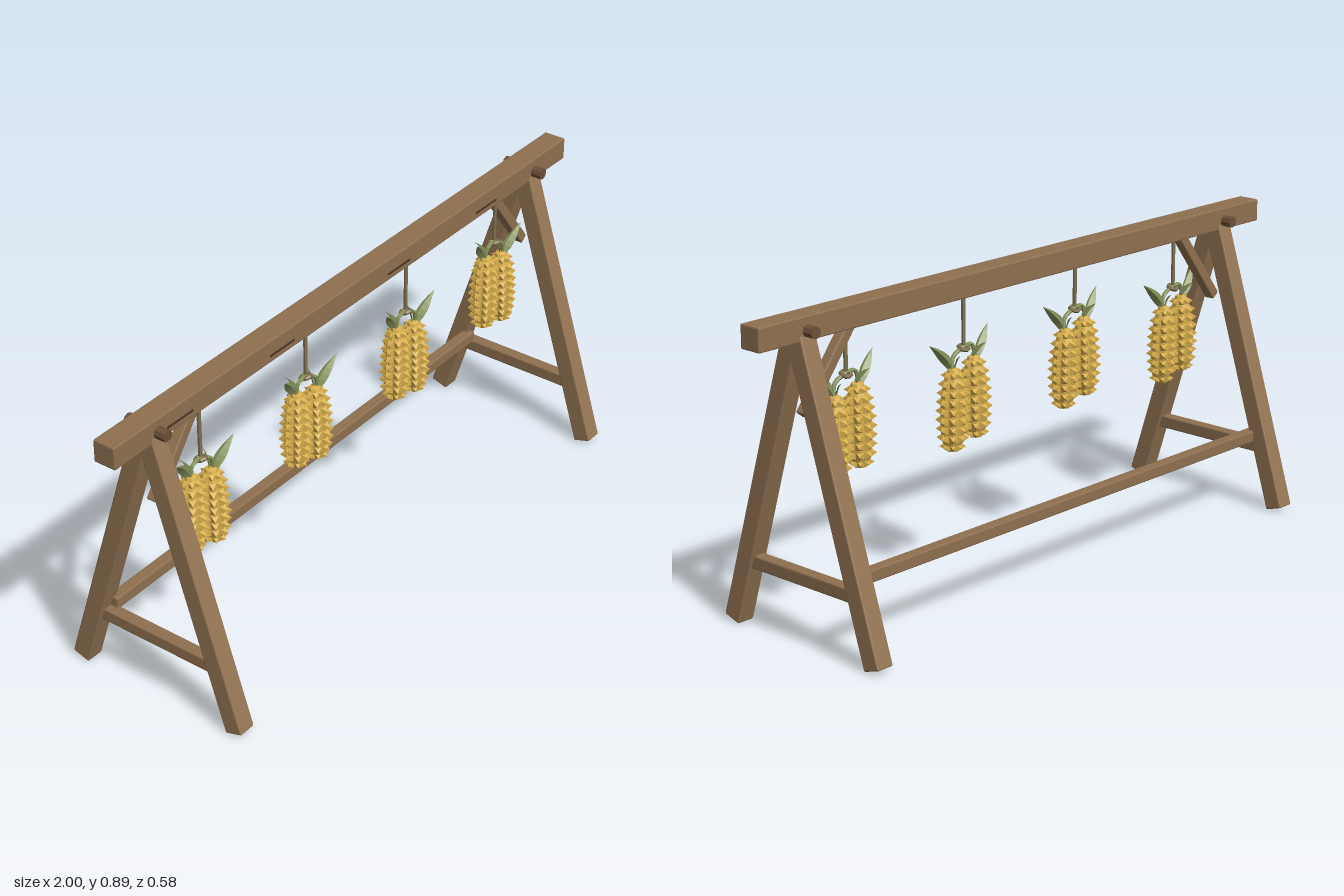
import * as THREE from 'three';
import { mergeGeometries } from 'three/addons/utils/BufferGeometryUtils.js';
import { RoundedBoxGeometry } from 'three/addons/geometries/RoundedBoxGeometry.js';

const mat = (color, extra = {}) => {
  const m = new THREE.MeshStandardMaterial({ color, flatShading: true });
  return Object.assign(m, extra);
};
const V = (x, y, z) => new THREE.Vector3(x, y, z);

export function createModel() {
  const root = new THREE.Group();
  const wood = mat(0x8f7050);
  const legWood = mat(0x957554);
  const darkWood = mat(0x4a3626);
  const pegWood = mat(0x6b5038);
  const ropeMat = mat(0x80704f);
  const cornMat = mat(0xd9b04e);
  const leafMat = mat(0x86935a, { side: THREE.DoubleSide });

  const add = (parent, name, geo, material, x = 0, y = 0, z = 0) => {
    const m = new THREE.Mesh(geo, material);
    m.name = name;
    m.position.set(x, y, z);
    parent.add(m);
    return m;
  };
  const timber = (w, h, d) => new RoundedBoxGeometry(w, h, d, 1, 0.004);
  // square timber running from a to b
  const strut = (name, a, b, w, d, material) => {
    const m = add(root, name, timber(w, a.distanceTo(b), d), material);
    m.position.copy(a).add(b).multiplyScalar(0.5);
    m.quaternion.setFromUnitVectors(V(0, 1, 0), b.clone().sub(a).normalize());
    return m;
  };

  // top beam with thin dark grain strips along its front
  add(root, 'topBeam', timber(2, 0.066, 0.068), wood, 0, 0.862, 0);
  for (const x of [-0.755, -0.345, 0.17, 0.59])
    add(root, 'grainStrip', new THREE.BoxGeometry(0.1, 0.006, 0.004), darkWood, x, 0.85, 0.034);

  // A-frame at each end
  for (const s of [-1, 1]) {
    const x = 0.838 * s;
    for (const f of [-1, 1])
      strut('leg', V(x, 0.012, 0.266 * f), V(x, 0.85, 0.004 * f), 0.054, 0.055, legWood);
    add(root, 'crossBrace', timber(0.036, 0.038, 0.38), wood, x, 0.191, 0);
    const peg = add(root, 'peg', new THREE.CylinderGeometry(0.017, 0.017, 0.13, 8), pegWood, x, 0.856, 0);
    peg.rotation.x = Math.PI / 2;
    strut('diagonalBrace', V(0.83 * s, 0.625, 0), V(0.66 * s, 0.845, 0), 0.03, 0.032, wood);
  }
  // long rail at the back
  add(root, 'backRail', timber(1.66, 0.035, 0.034), wood, 0, 0.222, -0.167);

  // corn cob: tapered core with rings of pyramid kernels, base at y = 0
  const profile = [[0, 0.004], [0.018, 0.006], [0.03, 0.035], [0.035, 0.09], [0.034, 0.15],
    [0.028, 0.2], [0.016, 0.235], [0, 0.24]].map(p => new THREE.Vector2(...p));
  const radiusAt = y => {
    const i = Math.max(1, profile.findIndex(p => p.y >= y));
    const a = profile[i - 1], b = profile[i];
    return a.x + (b.x - a.x) * (y - a.y) / (b.y - a.y);
  };
  const cobParts = [new THREE.LatheGeometry(profile, 8)];
  for (let row = 0; row < 9; row++) {
    const y = 0.018 + row * 0.025, r = radiusAt(y);
    for (let k = 0; k < 8; k++) {
      const g = new THREE.ConeGeometry(0.008 + r * 0.2, 0.018, 4, 1, true);
      g.rotateY(Math.PI / 4).rotateX(Math.PI / 2);
      g.translate(0, y, r + 0.005).rotateY(k * Math.PI / 4);
      cobParts.push(g);
    }
  }
  const cobGeo = mergeGeometries(cobParts);

  // pointed husk leaf rising along +y, folded at the midrib and bent outwards to +x
  const leafGeo = new THREE.PlaneGeometry(1, 1, 2, 6);
  const lp = leafGeo.attributes.position;
  for (let i = 0; i < lp.count; i++) {
    const side = lp.getX(i) * 2, t = lp.getY(i) + 0.5;
    const w = 0.015 * Math.sin(Math.PI * Math.min(1, 0.1 + 0.9 * t)) * side;
    lp.setXYZ(i, 0.055 * t * t + 0.02 * t + w * 0.75, 0.085 * t - w * 0.45, Math.abs(w) * 0.6 + w * 0.5);
  }
  leafGeo.computeVertexNormals();

  const tube = (pts, r) => new THREE.TubeGeometry(new THREE.CatmullRomCurve3(pts), 8, r, 6);

  // hanging bunches: [x, height of the left cob's base]
  for (const [x, y] of [[-0.668, 0.408], [-0.23, 0.428], [0.223, 0.408], [0.66, 0.428]]) {
    const bunch = new THREE.Group();
    bunch.name = 'cornBunch';
    bunch.position.set(x, y, 0.02);
    root.add(bunch);
    const knotY = 0.275;
    add(bunch, 'rope', new THREE.CylinderGeometry(0.006, 0.006, 0.84 - y - knotY, 6), ropeMat,
      0, (0.84 - y + knotY) / 2, 0);
    const knot = add(bunch, 'knot', new THREE.TorusGeometry(0.014, 0.006, 6, 8), ropeMat, 0, knotY - 0.008, 0);
    knot.rotation.x = Math.PI / 2 - 0.3;
    for (const s of [-1, 1]) {
      const base = s < 0 ? 0 : -0.02;
      const cx = 0.046 * s, top = base + 0.238;
      const cob = add(bunch, 'cob', cobGeo, cornMat, cx, base, 0);
      cob.rotation.z = 0.03 * s;
      add(bunch, 'stem', tube([V(cx, top - 0.01, 0), V(cx * 0.8, top + 0.03, 0.004),
        V(0, knotY - 0.004, 0)], 0.006), leafMat);
      // one long and one short husk leaf
      const yaw = s > 0 ? 0 : Math.PI;
      const long = add(bunch, 'huskLeaf', leafGeo, leafMat, cx * 0.9, top - 0.012, 0);
      long.rotation.y = yaw - 0.25 * s;
      const short = add(bunch, 'huskLeaf', leafGeo, leafMat, cx * 0.7, top - 0.005, 0);
      short.rotation.y = yaw + 1.1 * s;
      short.scale.setScalar(0.55);
    }
  }
  return root;
}
